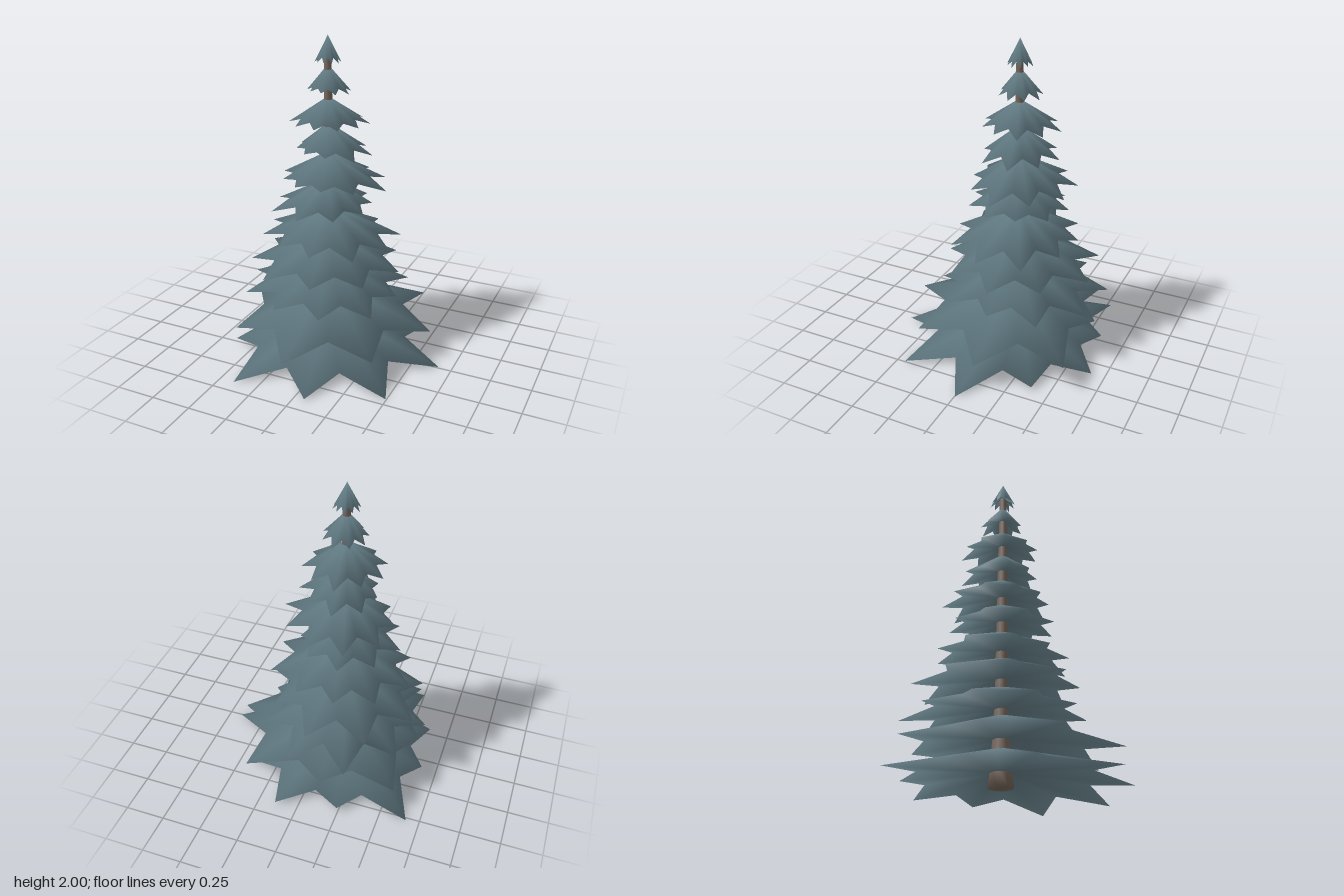
import * as THREE from 'three';

// Tree axis is slightly off centre because the branches are uneven
const AXIS_X = -0.11, AXIS_Z = -0.06;

// Lowest two tiers: reach of every branch tip, going round from +x towards +z
const LOW_TIERS = [
  { apex: 0.235, drop: 0.228, phase: 4, tips: [0.78, 0.79, 0.74, 0.785, 0.61, 0.55, 0.73, 0.56, 0.66, 0.63] },
  { apex: 0.43, drop: 0.235, phase: -2, tips: [0.69, 0.68, 0.7, 0.63, 0.5, 0.63, 0.53, 0.7] },
];

// Upper tiers: apex height, drop, tip count, phase, reach towards +x, +z, -x, -z
const HIGH_TIERS = [
  [0.60, 0.22, 10, 0, 0.49, 0.50, 0.53, 0.57],
  [0.78, 0.22, 9, 39, 0.46, 0.44, 0.53, 0.50],
  [0.95, 0.21, 10, 10, 0.46, 0.37, 0.43, 0.37],
  [1.13, 0.19, 9, 20, 0.26, 0.34, 0.35, 0.32],
  [1.30, 0.20, 10, 2, 0.37, 0.25, 0.32, 0.37],
  [1.48, 0.19, 9, 30, 0.28, 0.205, 0.19, 0.26],
  [1.64, 0.17, 10, 15, 0.24, 0.22, 0.24, 0.25],
  [1.83, 0.17, 9, 5, 0.14, 0.115, 0.125, 0.145],
  [2.00, 0.16, 10, 12, 0.08, 0.076, 0.076, 0.078],
];

let seed = 7;
function random() {
  seed = (seed * 16807) % 2147483647;
  return seed / 2147483647;
}

// Spread four compass reaches over the tips, with a little unevenness
function spreadTips([apex, drop, count, phase, ...reach]) {
  const tips = [];
  for (let i = 0; i < count; i++) {
    const q = ((phase / 360 + i / count) % 1) * 4;
    const k = Math.floor(q);
    const r = THREE.MathUtils.lerp(reach[k], reach[(k + 1) % 4], q - k);
    tips.push(r * (0.95 + 0.12 * random()));
  }
  return { apex, drop, phase, tips };
}

// Closed star-edged cone: drooping top, shallow underside, one smooth rim
function tierGeometry({ apex, drop, phase, tips }) {
  const n = tips.length, longest = Math.max(...tips);
  const mean = tips.reduce((a, b) => a + b, 0) / n;
  const points = [0, apex, 0, 0, apex - drop * 0.64, 0], index = [];
  for (let i = 0; i < n * 2; i++) {
    const a = THREE.MathUtils.degToRad(phase) + (i / n) * Math.PI;
    const tip = tips[i >> 1], next = tips[((i >> 1) + 1) % n];
    const isTip = i % 2 === 0;
    const r = isTip ? tip : 0.216 * (tip + next) + 0.29 * mean;
    const fall = isTip ? drop * (0.4 + 0.6 * tip / longest) : drop * 0.77;
    points.push(r * Math.cos(a), apex - fall, r * Math.sin(a));
    const here = i + 2, after = ((i + 1) % (n * 2)) + 2;
    index.push(0, after, here, 1, here, after);
  }
  const g = new THREE.BufferGeometry();
  g.setAttribute('position', new THREE.Float32BufferAttribute(points, 3));
  g.setIndex(index);
  g.computeVertexNormals();
  return g;
}

export function createModel() {
  const needles = new THREE.MeshStandardMaterial({ color: 0x67818a });
  needles.name = 'blue green needles';
  const bark = new THREE.MeshStandardMaterial({ color: 0x75655a });
  bark.name = 'brown bark';

  const tree = new THREE.Group();
  tree.name = 'firTree';
  tree.position.set(AXIS_X, 0, AXIS_Z);

  // Tapering trunk, flared at the foot
  const profile = [[0, 0.005], [0.076, 0.005], [0.066, 0.1], [0.048, 0.35], [0.04, 0.6], [0.032, 1.3], [0.022, 1.9], [0, 1.92]]
    .map(([r, y]) => new THREE.Vector2(r, y));
  const trunk = new THREE.Mesh(new THREE.LatheGeometry(profile, 8), bark);
  trunk.name = 'trunk';
  tree.add(trunk);

  // Branch tiers from the ground up
  [...LOW_TIERS, ...HIGH_TIERS.map(spreadTips)].forEach((tier, i) => {
    const mesh = new THREE.Mesh(tierGeometry(tier), needles);
    mesh.name = `branchTier${i + 1}`;
    tree.add(mesh);
  });

  const model = new THREE.Group();
  model.name = 'model';
  model.add(tree);
  return model;
}
